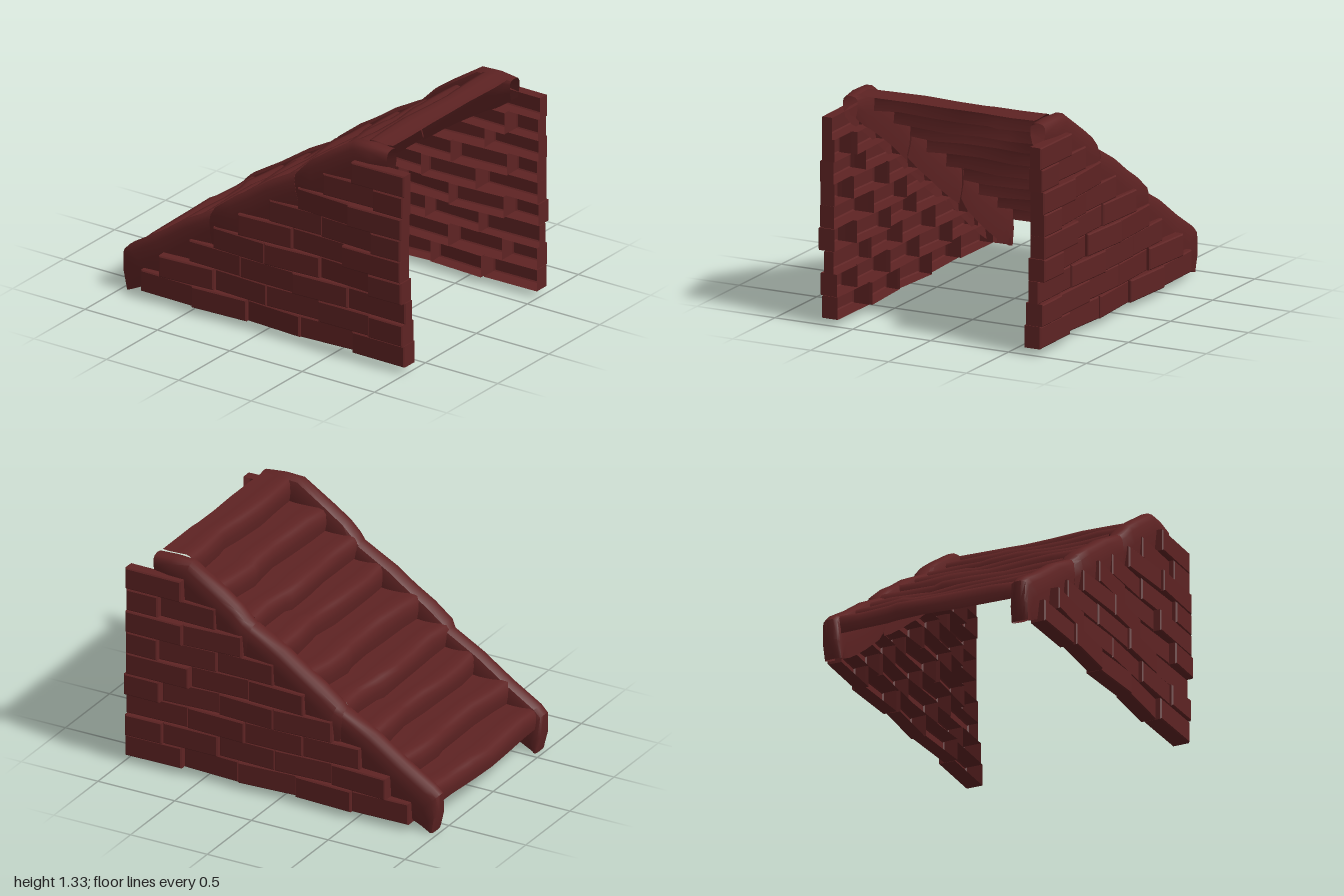
import * as THREE from 'three';
import { toCreasedNormals } from 'three/addons/utils/BufferGeometryUtils.js';

const brickRed = new THREE.MeshStandardMaterial({ color: 0x5e2323, side: THREE.DoubleSide });
brickRed.name = 'dark brick red';

// Skin a surface over equal-length rows of [x, y, z] points
function loft(rows, flip = false) {
  const n = rows[0].length, index = [];
  for (let i = 0; i < rows.length - 1; i++) {
    for (let j = 0; j < n - 1; j++) {
      const a = i * n + j, b = a + 1, c = a + n, d = c + 1;
      if (flip) index.push(a, b, c, b, d, c);
      else index.push(a, c, b, b, c, d);
    }
  }
  const geo = new THREE.BufferGeometry();
  geo.setAttribute('position', new THREE.Float32BufferAttribute(rows.flat(2), 3));
  geo.setIndex(index);
  return toCreasedNormals(geo, 0.75);
}

function addMesh(parent, geo, name) {
  const mesh = new THREE.Mesh(geo, brickRed);
  mesh.name = name;
  parent.add(mesh);
  return mesh;
}

// Hollow brick, open towards the inside, with a bevelled outer face at z = 0
function brickGeometry(w, h, depth, side) {
  const bevel = 0.007;
  const ring = (inset, z) => [[-1, -1], [1, -1], [1, 1], [-1, 1], [-1, -1]]
    .map(([sx, sy]) => [sx * (w / 2 - inset), sy * (h / 2 - inset), side * z]);
  const center = Array.from({ length: 5 }, () => [0, 0, 0]);
  return loft([ring(0, -depth), ring(0, -bevel), ring(bevel, 0), center], side > 0);
}

// Brick joints along x, one list per course from the ground up
const courses = [
  [-0.84, -0.475, -0.105, 0.265, 0.63, 0.995],
  [-0.70, -0.335, 0.03, 0.395, 0.75, 0.99],
  [-0.515, -0.15, 0.22, 0.595, 0.995],
  [-0.34, 0.03, 0.395, 0.76, 0.99],
  [-0.16, 0.205, 0.575, 0.98],
  [0.045, 0.41, 0.775, 0.98],
  [0.245, 0.615, 0.985],
  [0.42, 0.78, 0.985],
  [0.63, 0.995],
];
// Outer face and depth of the last brick in each course
const endFace = [0.702, 0.715, 0.688, 0.73, 0.725, 0.725, 0.725, 0.71, 0.708];
const endDepth = [0.105, 0.11, 0.065, 0.105, 0.095, 0.095, 0.09, 0.085, 0.07];

function brickWall(side) {
  const wall = new THREE.Group();
  wall.name = side > 0 ? 'frontBrickWall' : 'backBrickWall';
  courses.forEach((joints, row) => {
    for (let i = 0; i < joints.length - 1; i++) {
      const last = i === joints.length - 2;
      const outer = last ? endFace[row] : 0.688 + 0.012 * Math.sin(row * 2.3 + i * 1.7);
      const depth = last ? endDepth[row] : 0.09;
      const geo = brickGeometry(joints[i + 1] - joints[i] - 0.001, 0.131, depth, side);
      const brick = addMesh(wall, geo, 'brick');
      brick.position.set((joints[i] + joints[i + 1]) / 2, 0.105 + row * 0.1312, side * outer);
      brick.rotation.y = side * (last ? 0.02 : 0.06) * Math.cos(row * 1.9 + i * 2.6 - 1.9);
    }
  });
  return wall;
}

// Hollow side rails in three stones: [top x, top y, bottom x, bottom y, outer z]
const railStones = [
  [[-0.97, 0, -0.94, 0.005, 0.64], [-1, 0.11, -0.89, 0.03, 0.645], [-1, 0.235, -0.83, 0.06, 0.65],
    [-0.96, 0.275, -0.75, 0.11, 0.652], [-0.78, 0.385, -0.62, 0.2, 0.65],
    [-0.58, 0.52, -0.45, 0.33, 0.65], [-0.385, 0.625, -0.375, 0.42, 0.65]],
  [[-0.395, 0.615, -0.37, 0.39, 0.65], [-0.36, 0.66, -0.28, 0.44, 0.675], [-0.25, 0.745, -0.13, 0.54, 0.677],
    [-0.13, 0.82, -0.02, 0.62, 0.672], [0, 0.91, 0.1, 0.7, 0.672], [0.2, 1.02, 0.24, 0.81, 0.665]],
  [[0.19, 1.01, 0.23, 0.79, 0.66], [0.24, 1.06, 0.3, 0.84, 0.677], [0.3, 1.12, 0.38, 0.9, 0.677],
    [0.4, 1.19, 0.5, 0.98, 0.675], [0.6, 1.32, 0.66, 1.08, 0.67], [0.72, 1.325, 0.74, 1.12, 0.665],
    [0.84, 1.315, 0.84, 1.19, 0.65]],
];

function sideRail(side) {
  const rail = new THREE.Group();
  rail.name = side > 0 ? 'frontRail' : 'backRail';
  railStones.forEach((stone, s) => {
    const zi = 0.535 + 0.01 * s;
    const rows = stone.map(([tx, ty, bx, by, zo]) => {
      // Inverted U: height fraction and depth
      const section = [[0, zo - 0.015], [0.5, zo], [0.83, zo - 0.003], [0.95, zo - 0.016], [1, zo - 0.04],
        [1, zi + 0.035], [0.95, zi + 0.012], [0.8, zi], [0.4, zi], [0, zi + 0.012]];
      return section.map(([t, z]) => [bx + (tx - bx) * t, by + (ty - by) * t, side * z]);
    });
    // The two lower stones have a closed upper end
    if (s < 2) {
      const [tx, ty, bx, by, zo] = stone.at(-1);
      rows.push(rows[0].map(() => [(tx + bx) / 2, (ty + by) / 2, side * (zo + zi) / 2]));
    }
    addMesh(rail, loft(rows, side > 0), 'railStone');
  });
  return rail;
}

// Riser position and base height of each step, ending with the top edge
const stepX = [-0.975, -0.77, -0.565, -0.385, -0.18, 0.035, 0.215, 0.425, 0.64, 0.825];
const stepY = [0.152, 0.272, 0.4, 0.525, 0.655, 0.8, 0.93, 1.052, 1.19, 1.322];
const stepZ = [-0.57, -0.42, -0.24, -0.18, 0, 0.2, 0.4, 0.57];

// Uneven front edge of a step at one place along its width
function stepEdge(k, i) {
  const bow = k === 0 ? 0.04 * Math.abs(stepZ[i]) - 0.012 : 0;
  const ends = k % 9 === 0 ? 0.3 : 1;
  return [stepX[k] + bow + ends * 0.012 * Math.sin(k * 2.1 + i * 1.3),
    stepY[k] + ends * 0.006 * Math.sin(k * 1.7 + i * 2.2)];
}

// Worn steps forming one continuous open sheet, each with a rounded nose
function steps() {
  const group = new THREE.Group();
  group.name = 'steps';
  // Fractions of tread and rise
  const profile = [[0, 0], [-0.04, 0.4], [-0.02, 0.75], [0.06, 0.94], [0.2, 1.02],
    [0.48, 1], [0.78, 0.98], [1, 1]];
  for (let k = 0; k < 9; k++) {
    const rows = stepZ.map((z, i) => {
      const [x0, y0] = stepEdge(k, i), [x1, y1] = stepEdge(k + 1, i);
      return profile.map(([u, v]) => [x0 + (x1 - x0) * u, y0 + (y1 - y0) * v, z]);
    });
    addMesh(group, loft(rows, true), 'step');
  }
  return group;
}

export function createModel() {
  const model = new THREE.Group();
  model.name = 'brickStairs';
  for (const side of [1, -1]) model.add(brickWall(side), sideRail(side));
  model.add(steps());
  return model;
}
